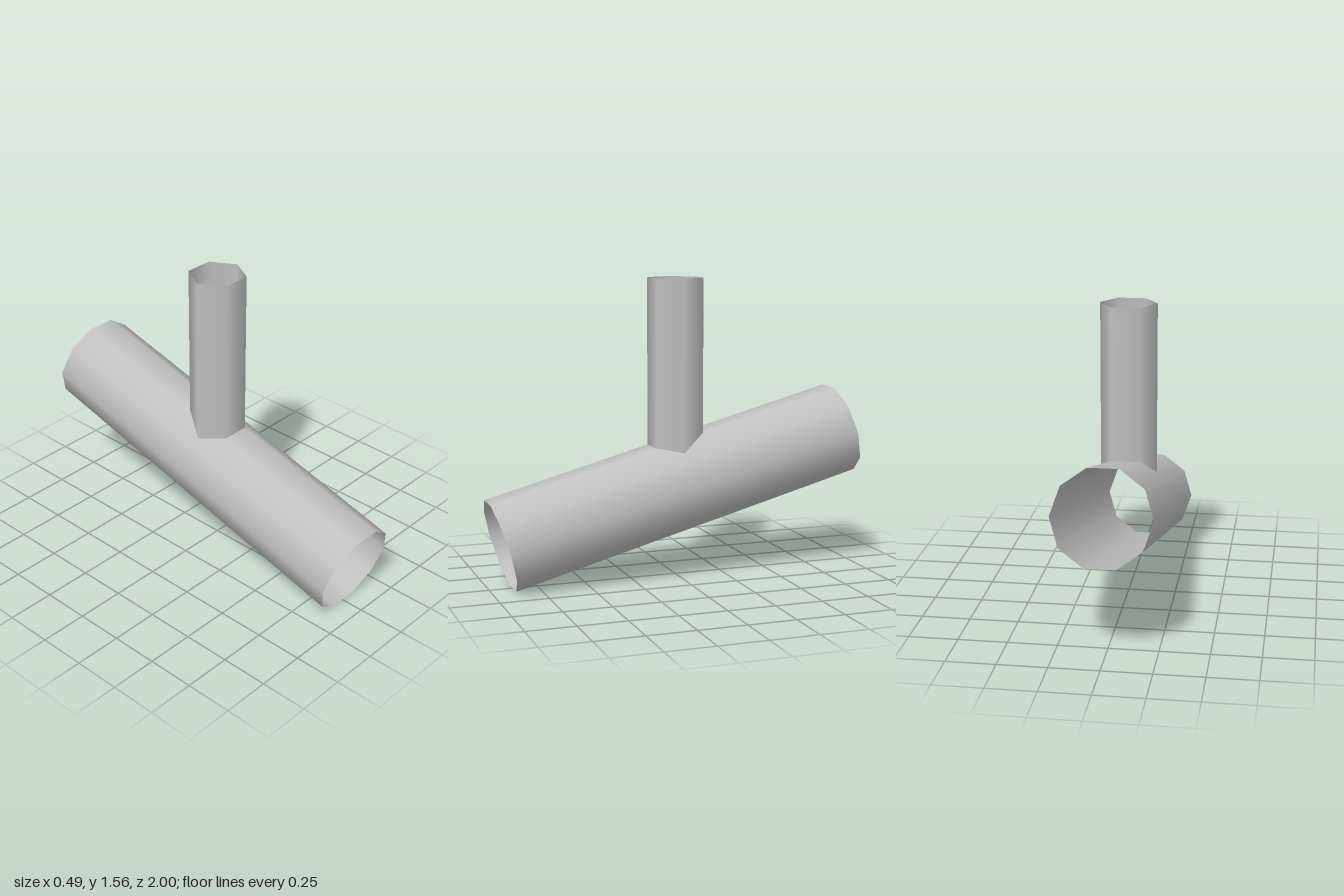
import * as THREE from 'three';

export function createModel() {
  const model = new THREE.Group();
  const grey = new THREE.MeshStandardMaterial({ color: 0xc0c0c0, side: THREE.DoubleSide });
  grey.name = 'pipeGrey';

  const tilt = THREE.MathUtils.degToRad(15.25);
  const radius = 0.245, length = 1.946, centreY = 0.481;

  // Sloping ten-sided open pipe, low at the front, with flats at top and bottom
  const main = new THREE.CylinderGeometry(radius, radius, length, 10, 1, true, Math.PI / 10);
  main.rotateX(tilt - Math.PI / 2);
  main.translate(0, centreY, 0);
  const mainPipe = new THREE.Mesh(main, grey);
  mainPipe.name = 'mainPipe';
  model.add(mainPipe);

  // Height of the main pipe's upper surface at (x, z)
  const surfaceY = (x, z) => {
    const top = radius * Math.cos(Math.PI / 10);
    const flat = radius * Math.sin(Math.PI / 10);
    const local = top - Math.max(0, Math.abs(x) - flat) * Math.tan(Math.PI / 5);
    return centreY + local / Math.cos(tilt) - z * Math.tan(tilt);
  };

  // Upright six-sided open pipe, its foot trimmed to the main pipe
  const topY = 1.56;
  const branch = new THREE.CylinderGeometry(0.147, 0.147, 1, 6, 1, true, Math.PI / 6);
  const pos = branch.attributes.position;
  for (let i = 0; i < pos.count; i++) {
    pos.setY(i, pos.getY(i) > 0 ? topY : surfaceY(pos.getX(i), pos.getZ(i)));
  }
  const branchPipe = new THREE.Mesh(branch, grey);
  branchPipe.name = 'branchPipe';
  model.add(branchPipe);

  return model;
}
